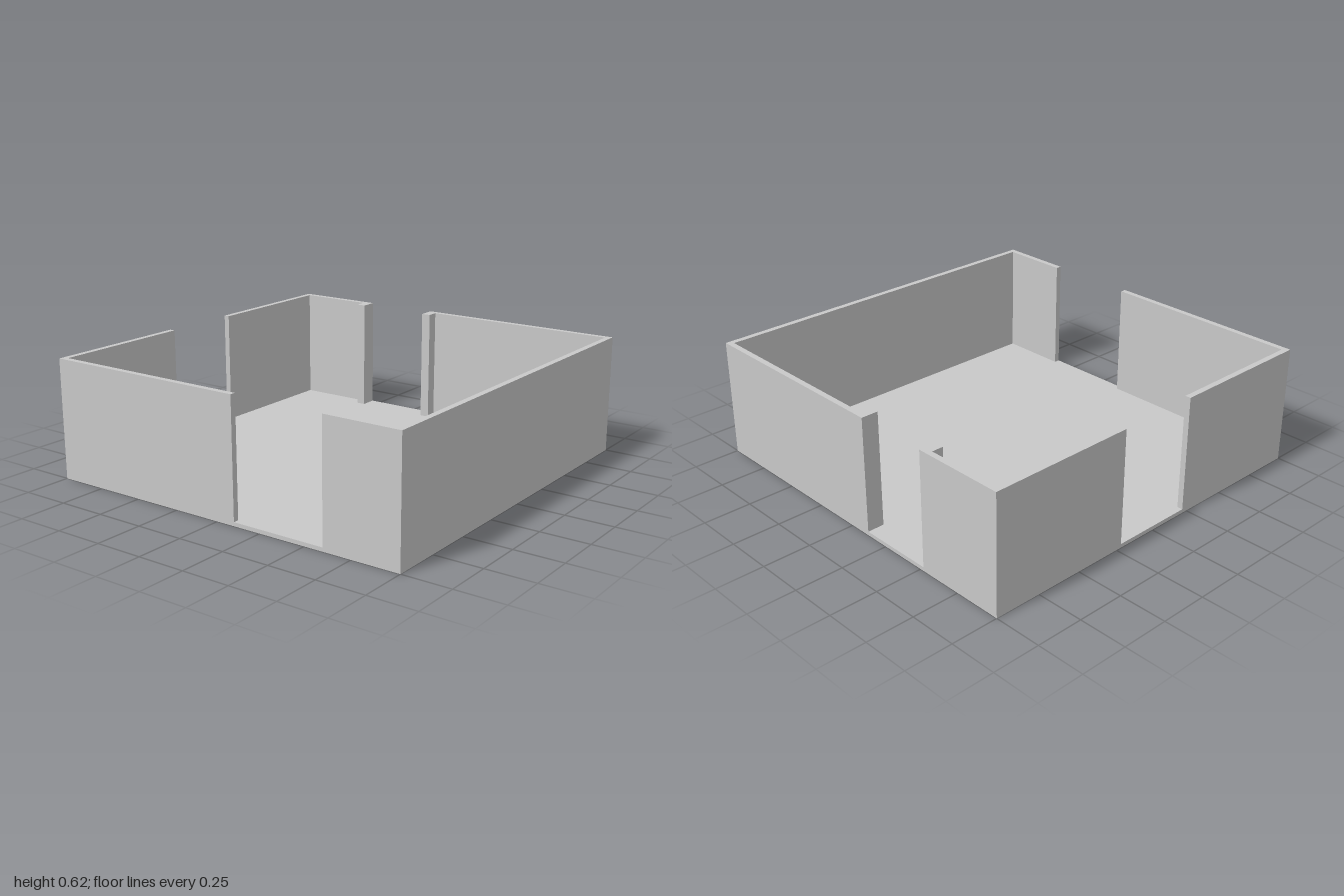
import * as THREE from 'three';

const FLOOR = 0.02;   // floor slab thickness
const HEIGHT = 0.62;  // top of the walls
const T = 0.97;       // inner face of the walls
const JAMB = 0.91;    // inner face of the door jambs

// Wall plans as [x, z] corners, one run between each pair of openings
const wallPlans = {
  frontWalls: [[-1, 0.6], [-1, 1], [1, 1], [1, -0.12], [JAMB, -0.12], [JAMB, -0.07],
    [T, -0.07], [T, T], [-T, T], [-T, 0.6]],
  backRightWalls: [[-1, 0.1], [-T, 0.1], [-T, -T], [-0.22, -T], [-0.22, -1], [-1, -1]],
  backLeftWalls: [[0.22, -1], [0.22, -T], [T, -T], [T, -0.57], [JAMB, -0.57],
    [JAMB, -0.52], [1, -0.52], [1, -1]],
};

// Raise a plan outline from the floor to the wall top
function wallGeometry(plan) {
  const shape = new THREE.Shape(plan.map(([x, z]) => new THREE.Vector2(x, -z)));
  const geometry = new THREE.ExtrudeGeometry(shape, { depth: HEIGHT - FLOOR, bevelEnabled: false });
  geometry.rotateX(-Math.PI / 2);
  geometry.translate(0, FLOOR, 0);
  return geometry;
}

export function createModel() {
  const model = new THREE.Group();
  model.name = 'roomShell';
  const grey = new THREE.MeshStandardMaterial({ color: 0xc8c8c8 });
  grey.name = 'plainGrey';

  // Floor slab
  const floor = new THREE.Mesh(new THREE.BoxGeometry(2, FLOOR, 2), grey);
  floor.name = 'floor';
  floor.position.y = FLOOR / 2;
  model.add(floor);

  // Walls with their door jambs
  for (const [name, plan] of Object.entries(wallPlans)) {
    const wall = new THREE.Mesh(wallGeometry(plan), grey);
    wall.name = name;
    model.add(wall);
  }
  return model;
}
